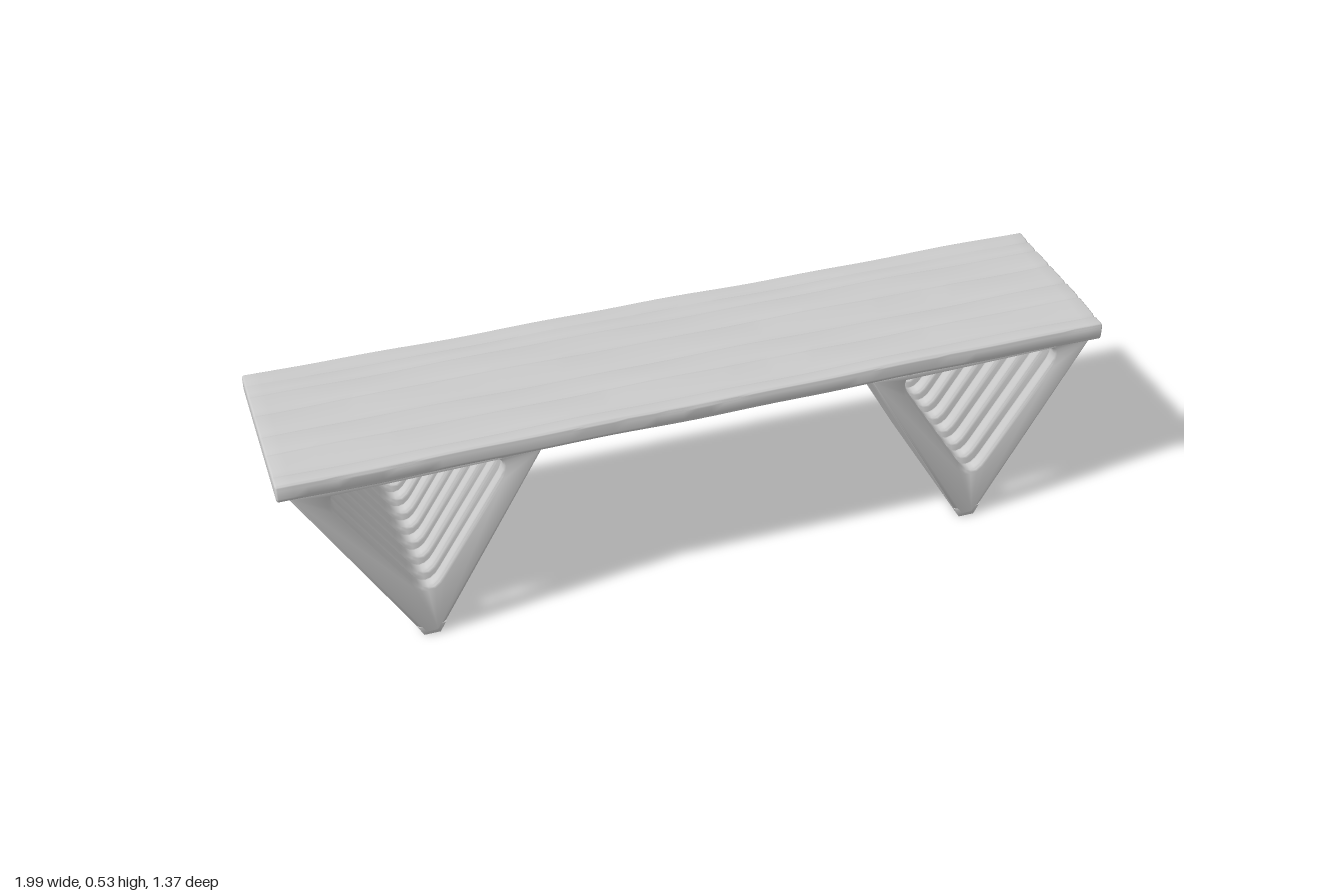
import * as THREE from 'three';
import { mergeVertices, toCreasedNormals } from 'three/addons/utils/BufferGeometryUtils.js';

const LENGTH = 2.026, WIDTH = 0.456, LEG_WIDTH = 0.446;
const SEAT_BOTTOM = 0.478, SEAT_TOP = 0.524;
const SLATS = 8, SLAT = 0.038;
const material = new THREE.MeshStandardMaterial({ color: 0xcccccc });

function mesh(name, geometry) {
  const m = new THREE.Mesh(geometry, material);
  m.name = name;
  return m;
}

// Extrusion centred on z, with softened edges
function softExtrude(shape, depth, bevel, steps = 1) {
  const g = new THREE.ExtrudeGeometry(shape, {
    depth: depth - 2 * bevel, steps, curveSegments: 6, bevelEnabled: true,
    bevelThickness: bevel, bevelSize: bevel, bevelOffset: -bevel, bevelSegments: 3,
  });
  g.translate(0, 0, bevel - depth / 2);
  return g;
}

function smooth(g, angle = 0.8) {
  g.deleteAttribute('normal');
  g.deleteAttribute('uv');
  return toCreasedNormals(mergeVertices(g, 1e-4), angle);
}

// Seat slab: grooved cross-section run along the length, then gently worn
function seatGeometry() {
  const h = WIDTH / 2, r = 0.012, s = new THREE.Shape();
  s.moveTo(-h + r, SEAT_BOTTOM);
  s.lineTo(h - r, SEAT_BOTTOM);
  s.quadraticCurveTo(h, SEAT_BOTTOM, h, SEAT_BOTTOM + r);
  s.lineTo(h, SEAT_TOP - r);
  s.quadraticCurveTo(h, SEAT_TOP, h - r, SEAT_TOP);
  for (const x of [0.18, 0.135, 0.06, -0.03, -0.1, -0.185]) {
    s.lineTo(x + 0.01, SEAT_TOP);
    s.lineTo(x, SEAT_TOP - 0.004);
    s.lineTo(x - 0.01, SEAT_TOP);
  }
  s.lineTo(-h + r, SEAT_TOP);
  s.quadraticCurveTo(-h, SEAT_TOP, -h, SEAT_TOP - r);
  s.lineTo(-h, SEAT_BOTTOM + r);
  s.quadraticCurveTo(-h, SEAT_BOTTOM, -h + r, SEAT_BOTTOM);
  const g = softExtrude(s, LENGTH, 0.005, 60).rotateY(Math.PI / 2);
  const p = g.attributes.position;
  for (let i = 0; i < p.count; i++) {
    const x = p.getX(i), z = p.getZ(i);
    p.setY(i, p.getY(i) + 0.0015 * Math.sin(7 * x + 19 * z) + 0.001 * Math.sin(17 * x - 31 * z));
  }
  return smooth(g, 0.7);
}

// V-shaped slat with a rounded triangular opening
function slatShape() {
  const s = new THREE.Shape([[-0.02, 0], [0.02, 0], [0.295, 0.486], [-0.295, 0.486]]
    .map(([x, y]) => new THREE.Vector2(x, y)));
  const hole = new THREE.Path();
  hole.moveTo(-0.165, 0.476);
  hole.quadraticCurveTo(-0.215, 0.476, -0.19, 0.425);
  hole.lineTo(-0.035, 0.175);
  hole.quadraticCurveTo(0, 0.115, 0.035, 0.175);
  hole.lineTo(0.19, 0.425);
  hole.quadraticCurveTo(0.215, 0.476, 0.165, 0.476);
  hole.closePath();
  s.holes.push(hole);
  return s;
}

// Solid strip closing the slats along the ground
function footShape() {
  return new THREE.Shape([[-0.02, 0], [0.02, 0], [0.036, 0.03], [-0.036, 0.03]]
    .map(([x, y]) => new THREE.Vector2(x, y)));
}

export function createModel() {
  const model = new THREE.Group();
  model.name = 'bench';
  const bench = new THREE.Group();
  bench.name = 'benchBody';
  bench.rotation.y = Math.atan2(0.97, 1.78);
  model.add(bench);

  bench.add(mesh('seat', seatGeometry()));

  const slat = smooth(softExtrude(slatShape(), SLAT, 0.011));
  const foot = smooth(softExtrude(footShape(), LEG_WIDTH, 0.004));
  const pitch = (LEG_WIDTH - SLAT) / (SLATS - 1);
  for (const side of [-1, 1]) {
    const leg = new THREE.Group();
    leg.name = side < 0 ? 'rightLeg' : 'leftLeg';
    leg.position.x = side * 0.696;
    for (let i = 0; i < SLATS; i++) {
      const m = mesh('legSlat', slat);
      m.position.z = (i - (SLATS - 1) / 2) * pitch;
      leg.add(m);
    }
    leg.add(mesh('foot', foot));
    bench.add(leg);
  }
  return model;
}
